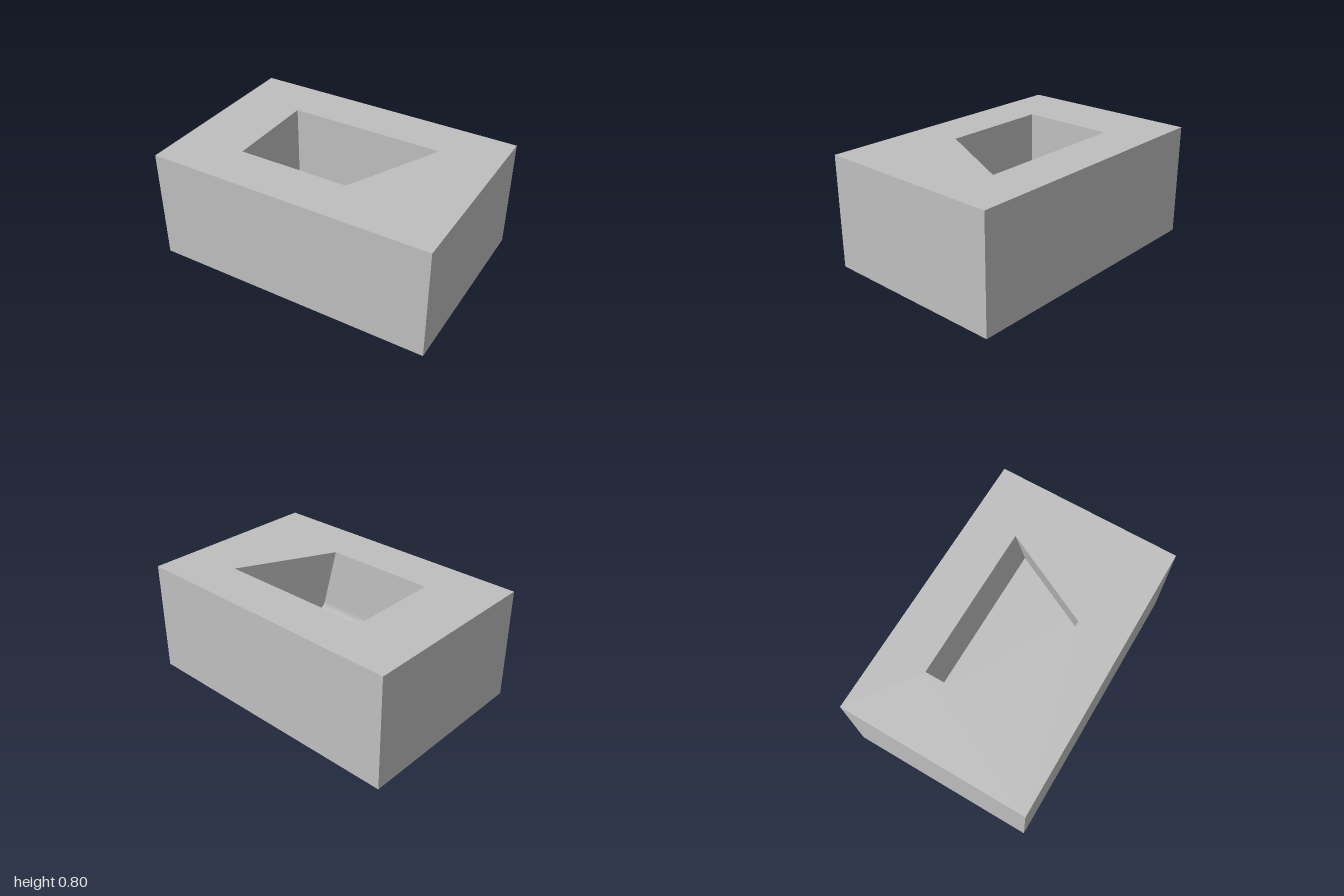
import * as THREE from 'three';

const H = 0.8, HALF_Z = 0.667;            // block height and half depth
const PZ = 0.333, FLOOR = 0.23, R = 0.133; // pocket half depth, floor level, fillet radius
const LEFT_X = -0.537;
// slanted pocket wall: angled in plan and undercut below the rim
const slantX = (z, y) => 0.419 - 0.495 * z + 0.25 * (H - y);

const grey = new THREE.MeshStandardMaterial({ color: 0xbfbfbf });
grey.name = 'grey';

function addMesh(group, name, geometry) {
  const mesh = new THREE.Mesh(geometry, grey);
  mesh.name = name;
  group.add(mesh);
}

// surface swept along x from the straight wall to the slanted wall; profile points are (z, y)
function strip(profile) {
  const pos = [], idx = [];
  profile.forEach(([z, y], i) => {
    pos.push(LEFT_X, y, z, slantX(z, y), y, z);
    if (i > 0) {
      const a = 2 * i - 2, b = 2 * i;
      idx.push(a, b, b + 1, a, b + 1, a + 1);
    }
  });
  const g = new THREE.BufferGeometry();
  g.setAttribute('position', new THREE.Float32BufferAttribute(pos, 3));
  g.setIndex(idx);
  g.computeVertexNormals();
  return g;
}

// end wall of the pocket, cut to the pocket's cross-section
function endWall(points, xAt, flip) {
  const g = new THREE.ShapeGeometry(new THREE.Shape(points.map(([z, y]) => new THREE.Vector2(z, y))));
  const p = g.attributes.position;
  for (let i = 0; i < p.count; i++) {
    const z = p.getX(i), y = p.getY(i);
    p.setXYZ(i, xAt(z, y), y, z);
  }
  if (flip) g.index.array.reverse();
  g.computeVertexNormals();
  return g;
}

export function createModel() {
  const model = new THREE.Group();
  model.name = 'pocketedBlock';

  // outer sides and underside: a box without its top face
  const box = new THREE.BoxGeometry(2, H, 2 * HALF_Z).translate(0, H / 2, 0);
  const index = Array.from(box.index.array);
  index.splice(12, 6);
  box.setIndex(index);
  box.clearGroups();
  addMesh(model, 'blockSides', box);

  // top face with the pocket opening
  const toShape = (Type, pts) => new Type(pts.map(([x, z]) => new THREE.Vector2(x, -z)));
  const top = toShape(THREE.Shape, [[-1, HALF_Z], [1, HALF_Z], [1, -HALF_Z], [-1, -HALF_Z]]);
  top.holes.push(toShape(THREE.Path, [
    [LEFT_X, PZ], [LEFT_X, -PZ], [slantX(-PZ, H), -PZ], [slantX(PZ, H), PZ],
  ]));
  addMesh(model, 'topFace', new THREE.ShapeGeometry(top).rotateX(-Math.PI / 2).translate(0, H, 0));

  // pocket: back wall, floor, rounded corner and front wall
  const fillet = [];
  for (let i = 0; i <= 20; i++) {
    const a = (i / 20) * Math.PI / 2;
    fillet.push([PZ - R + R * Math.sin(a), FLOOR + R - R * Math.cos(a)]);
  }
  const backTop = [-PZ, H], backLow = [-PZ, FLOOR], frontTop = [PZ, H];
  addMesh(model, 'pocketBackWall', strip([backTop, backLow]));
  addMesh(model, 'pocketFloor', strip([backLow, fillet[0]]));
  addMesh(model, 'pocketFillet', strip(fillet));
  addMesh(model, 'pocketFrontWall', strip([fillet[20], frontTop]));

  // pocket end walls
  const section = [backTop, backLow, ...fillet, frontTop];
  addMesh(model, 'pocketStraightWall', endWall(section, () => LEFT_X, true));
  addMesh(model, 'pocketSlantedWall', endWall(section, slantX, false));

  return model;
}
